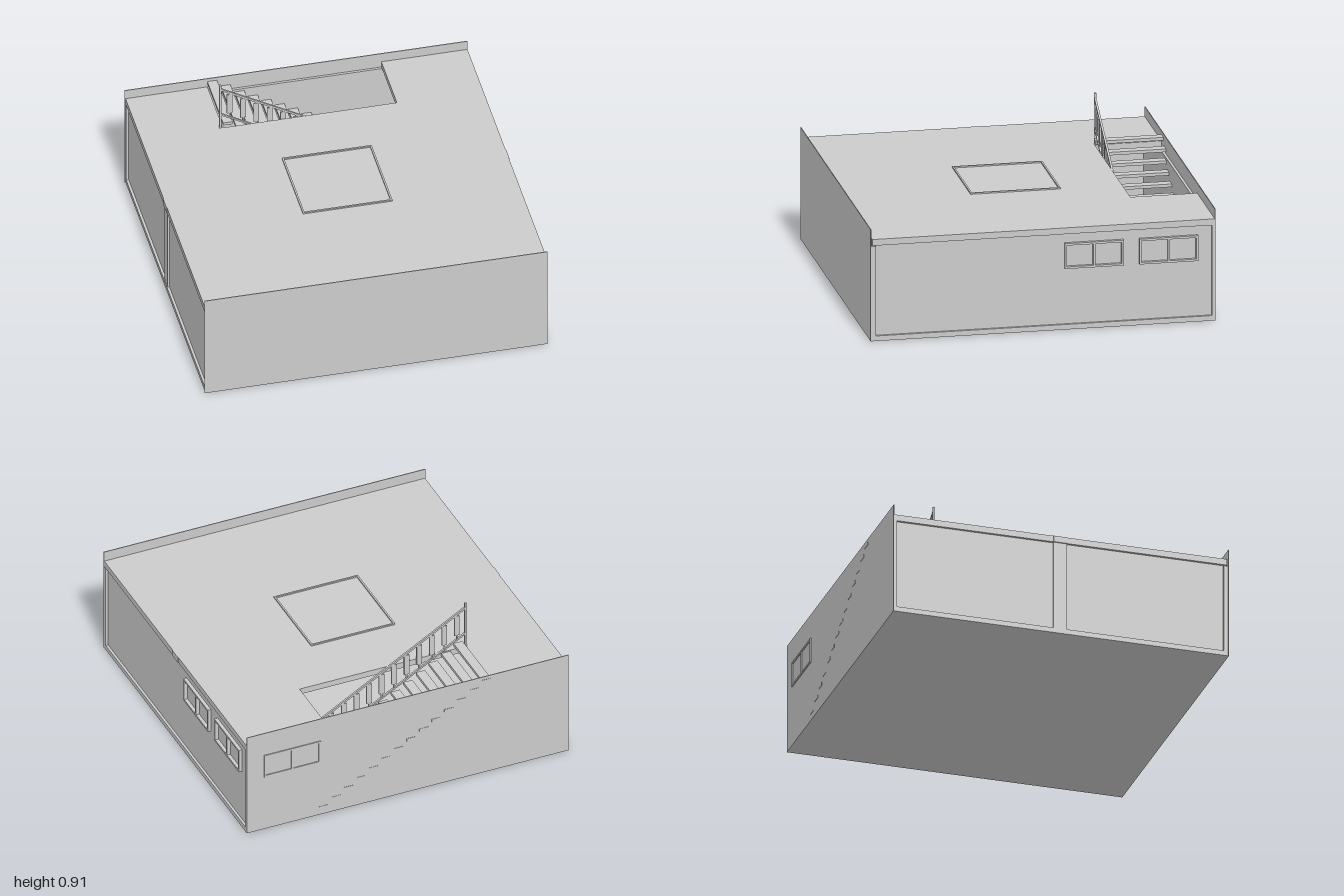
import * as THREE from 'three';

const material = new THREE.MeshStandardMaterial({ color: 0xcccccc, flatShading: true, side: THREE.DoubleSide });

// Box given by its low and high corners
function box(parent, name, [x0, y0, z0], [x1, y1, z1]) {
  const mesh = new THREE.Mesh(new THREE.BoxGeometry(x1 - x0, y1 - y0, z1 - z0), material);
  mesh.position.set((x0 + x1) / 2, (y0 + y1) / 2, (z0 + z1) / 2);
  mesh.name = name;
  parent.add(mesh);
  return mesh;
}

function group(parent, name) {
  const g = new THREE.Group();
  g.name = name;
  parent.add(g);
  return g;
}

// Flat rectangular frame in the local xy plane, with an optional centre mullion
function frame(parent, name, w, h, bar, depth, mullion) {
  const g = group(parent, name);
  for (const s of [-1, 1]) {
    box(g, 'frameSide', [s * (w - bar) / 2 - bar / 2, -h / 2, -depth / 2], [s * (w - bar) / 2 + bar / 2, h / 2, depth / 2]);
    box(g, 'frameRail', [-w / 2 + bar, s * (h - bar) / 2 - bar / 2, -depth / 2], [w / 2 - bar, s * (h - bar) / 2 + bar / 2, depth / 2]);
  }
  if (mullion) box(g, 'mullion', [-bar / 2, -h / 2 + bar, -depth / 2], [bar / 2, h / 2 - bar, depth / 2]);
  return g;
}

export function createModel() {
  const model = new THREE.Group();
  model.name = 'buildingStorey';

  // Floor and outer walls
  box(model, 'floor', [-0.995, 0, -0.985], [0.99, 0.03, 0.995]);
  box(model, 'frontWall', [-0.995, 0.03, 0.97], [0.99, 0.56, 0.995]);
  box(model, 'backWall', [-0.995, 0.03, -0.985], [0.99, 0.565, -0.97]);
  box(model, 'leftWall', [0.95, 0.03, -0.97], [0.975, 0.565, 0.97]);
  box(model, 'rightWall', [-0.98, 0.03, -0.97], [-0.955, 0.565, 0.97]);

  // Thin facings that rise above the roof as parapets
  box(model, 'frontFacing', [-1, 0, 0.995], [0.99, 0.66, 1]);
  box(model, 'backFacing', [-1, 0, -0.99], [0.99, 0.66, -0.985]);

  // Pilasters and beam ends at the middle of the side walls
  box(model, 'rightPilaster', [-0.99, 0.03, -0.04], [-0.98, 0.565, 0.04]);
  box(model, 'rightBeamEnd', [-0.998, 0.565, -0.04], [-0.96, 0.602, 0.04]);
  box(model, 'leftBeamEnd', [0.95, 0.565, -0.04], [0.993, 0.602, 0.04]);

  // Roof slab with the stair opening cut from its back edge
  const outline = new THREE.Shape([
    [-0.995, -0.99], [0.99, -0.99], [0.99, 0.985], [0.49, 0.985],
    [0.49, 0.6], [-0.52, 0.6], [-0.52, 0.985], [-0.995, 0.985],
  ].map(([x, y]) => new THREE.Vector2(x, y)));
  const slabGeometry = new THREE.ExtrudeGeometry(outline, { depth: 0.037, bevelEnabled: false });
  slabGeometry.rotateX(-Math.PI / 2);
  const slab = new THREE.Mesh(slabGeometry, material);
  slab.name = 'roofSlab';
  slab.position.y = 0.565;
  model.add(slab);

  // Square outline on the roof
  const hatch = frame(model, 'roofFrame', 0.52, 0.52, 0.01, 0.01);
  hatch.rotation.x = -Math.PI / 2;
  hatch.position.set(0, 0.605, 0.015);

  // Windows: two on the left wall, one at the back
  for (const z of [-0.29, -0.72]) {
    const w = frame(model, 'sideWindow', 0.34, 0.15, 0.012, 0.025, true);
    w.rotation.y = Math.PI / 2;
    w.position.set(0.983, 0.435, z);
  }
  frame(model, 'backWindow', 0.35, 0.15, 0.012, 0.012, true).position.set(0.71, 0.435, -0.99);

  // Open staircase descending towards +x, tread ends let through the back wall
  const stairs = group(model, 'staircase');
  const going = 0.0776, rise = 0.045;
  for (let i = 0; i < 14; i++) {
    const x = -0.52 + i * going, top = 0.64 - i * rise;
    box(stairs, 'tread', [x, top - 0.018, -0.992], [x + 0.056, top, -0.595]);
  }

  // Railing with sloping rails, flat balusters and end posts
  const railing = group(stairs, 'railing');
  const slope = rise / going, z = -0.605;
  const rail = (name, y, thick) => {
    const x0 = -0.53, x1 = 0.53, run = x1 - x0;
    const m = new THREE.Mesh(new THREE.BoxGeometry(run * Math.hypot(1, slope), thick, 0.012), material);
    m.name = name;
    m.rotation.z = -Math.atan(slope);
    m.position.set((x0 + x1) / 2, y - slope * run / 2, z);
    railing.add(m);
  };
  rail('handrail', 0.873, 0.012);
  rail('lowerRail', 0.697, 0.01);
  box(railing, 'topPost', [-0.54, 0.6, z - 0.006], [-0.528, 0.905, z + 0.006]);
  box(railing, 'bottomPost', [0.528, 0.03, z - 0.006], [0.54, 0.29, z + 0.006]);
  for (let i = 0; i < 13; i++) {
    const x = -0.48 + i * going, drop = slope * (x + 0.53);
    box(railing, 'balusterPanel', [x - 0.016, 0.728 - drop, z - 0.004], [x + 0.016, 0.86 - drop, z + 0.004]);
    box(railing, 'balusterRod', [x - 0.004, 0.697 - drop, z - 0.003], [x + 0.004, 0.873 - drop, z + 0.003]);
  }

  return model;
}
